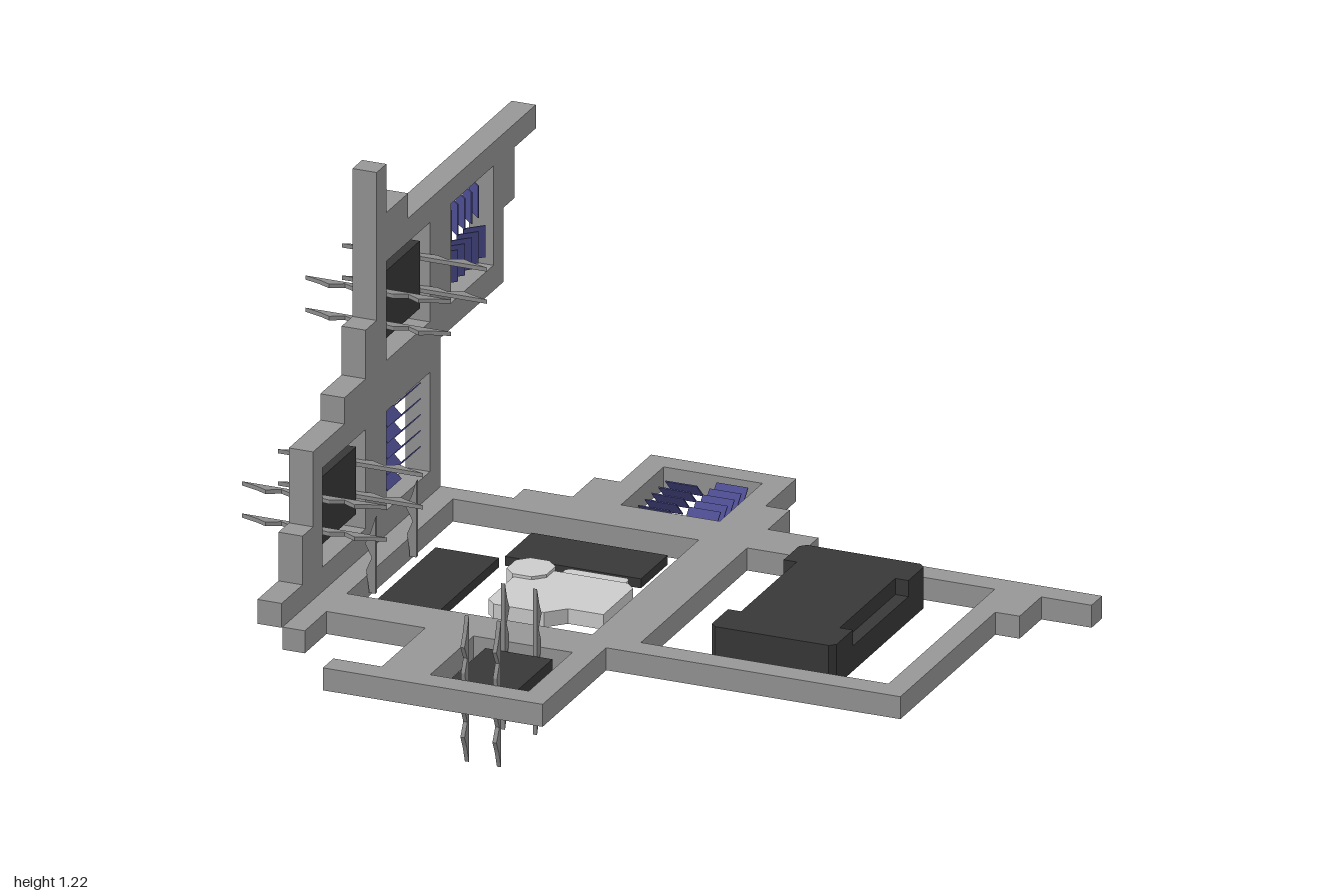
import * as THREE from 'three';

const mat = (color) => new THREE.MeshStandardMaterial({ color, flatShading: true });
const frameMat = mat(0x969696), darkMat = mat(0x383838), blueMat = mat(0x4c4c90);
const legMat = mat(0x8c8c8c), paleMat = mat(0xcccccc);
const V = (x, y, z) => new THREE.Vector3(x, y, z);

function mesh(name, geometry, material, x = 0, y = 0, z = 0) {
  const m = new THREE.Mesh(geometry, material);
  m.name = name;
  m.position.set(x, y, z);
  return m;
}
const box = (name, m, x0, x1, y0, y1, z0, z1) =>
  mesh(name, new THREE.BoxGeometry(x1 - x0, y1 - y0, z1 - z0), m, (x0 + x1) / 2, (y0 + y1) / 2, (z0 + z1) / 2);

// Outline with rectangular holes [u0, u1, v0, v1], extruded
function panel(points, depth, holes = []) {
  const toV2 = (p) => new THREE.Vector2(p[0], p[1]);
  const shape = new THREE.Shape(points.map(toV2));
  for (const [a, b, c, d] of holes) {
    shape.holes.push(new THREE.Path([[a, c], [a, d], [b, d], [b, c]].map(toV2)));
  }
  return new THREE.ExtrudeGeometry(shape, { depth, bevelEnabled: false });
}
// Flat slab: outline in x and z, between heights y0 and y1
const slab = (points, y0, y1, holes) => panel(points, y1 - y0, holes).rotateX(Math.PI / 2).translate(0, y1, 0);

// Rectangle with cut corners
function chamfered(x0, x1, z0, z1, c) {
  return [[x0 + c, z0], [x1 - c, z0], [x1, z0 + c], [x1, z1 - c], [x1 - c, z1], [x0 + c, z1], [x0, z1 - c], [x0, z0 + c]];
}

// Wavy upright leg, bulging toward local +z; upper half only when half is true
function leg(half) {
  const up = [[0.018, 0], [0.025, 0.05], [0.01, 0.085], [0.028, 0.12], [0.014, 0.15], [0, 0.195]];
  const down = half ? [[0, -0.01], [0.018, -0.01]] : up.slice(1).reverse().map(([o, t]) => [o, -t]);
  return panel([...down, ...up], 0.011).translate(0, 0, -0.0055).rotateY(-Math.PI / 2);
}

// Dark plate with two legs on each of two sides
function legPlate(name) {
  const g = new THREE.Group();
  g.name = name;
  g.add(mesh('plate', new THREE.BoxGeometry(0.18, 0.03, 0.222), darkMat));
  for (const side of [1, -1]) for (const x of [-0.043, 0.043]) {
    const l = mesh('leg', leg(false), legMat, x, 0, side * 0.112);
    if (side < 0) l.rotation.y = Math.PI;
    g.add(l);
  }
  return g;
}

// Two rows of slats tilted opposite ways
function louvre(name) {
  const g = new THREE.Group();
  g.name = name;
  for (const side of [-1, 1]) for (let i = -2; i <= 2; i++) {
    const s = mesh('slat', new THREE.BoxGeometry(0.085, 0.003, 0.058), blueMat, side * 0.06, 0, i * 0.0425);
    s.rotation.x = side * Math.PI / 4;
    g.add(s);
  }
  return g;
}

// Stand a flat part in the wall: its top faces +x, its x axis follows the given axis
function inWall(part, xAxis, y, z) {
  const yAxis = V(1, 0, 0);
  part.quaternion.setFromRotationMatrix(new THREE.Matrix4().makeBasis(xAxis, yAxis, xAxis.clone().cross(yAxis)));
  part.position.set(-0.807, y, z);
  return part;
}

export function createModel() {
  const model = new THREE.Group();
  model.name = 'model';

  // Floor frame
  const floor = [[-0.38, -0.69], [0.01, -0.69], [0.01, -0.5], [0.075, -0.5], [0.075, -0.365], [0.21, -0.365],
    [0.21, -0.3], [1, -0.3], [1, -0.235], [0.865, -0.235], [0.865, -0.1], [0.8, -0.1], [0.8, 0.49], [0.01, 0.49],
    [0.01, 0.885], [-0.58, 0.885], [-0.58, 0.82], [-0.45, 0.82], [-0.45, 0.55], [-0.715, 0.55], [-0.715, 0.685],
    [-0.775, 0.685], [-0.775, -0.3], [-0.58, -0.3], [-0.58, -0.365], [-0.45, -0.365], [-0.45, -0.5], [-0.38, -0.5]];
  model.add(mesh('floorFrame', slab(floor, 0.165, 0.225, [
    [-0.715, -0.055, -0.235, 0.425], [0.075, 0.74, -0.235, 0.425],
    [-0.32, -0.055, -0.63, -0.365], [-0.32, -0.055, 0.55, 0.82]]), frameMat));

  // Wall frame, outline in z and y
  const wall = [[0.69, 0.225], [0.69, 0.29], [0.56, 0.29], [0.56, 0.42], [0.495, 0.42], [0.495, 0.62], [0.3, 0.62],
    [0.3, 0.69], [0.168, 0.69], [0.168, 0.82], [0.1, 0.82], [0.1, 1.215], [0.04, 1.215], [0.04, 1.085],
    [-0.095, 1.085], [-0.095, 1.018], [-0.888, 1.018], [-0.888, 0.955], [-0.755, 0.955], [-0.755, 0.82],
    [-0.688, 0.82], [-0.688, 0.622], [-0.295, 0.622], [-0.295, 0.225]];
  model.add(mesh('wallFrame', panel(wall, 0.065, [
    [0.168, 0.435, 0.29, 0.555], [-0.23, 0.04, 0.29, 0.555],
    [-0.23, 0.04, 0.69, 0.955], [-0.625, -0.36, 0.69, 0.955]])
    .rotateY(-Math.PI / 2).translate(-0.775, 0, 0), frameMat));

  // Plates with legs
  const floorPlate = legPlate('floorLegPlate');
  floorPlate.position.set(-0.187, 0.195, 0.688);
  model.add(floorPlate,
    inWall(legPlate('lowerWallLegPlate'), V(0, 1, 0), 0.424, 0.3),
    inWall(legPlate('upperWallLegPlate'), V(0, 1, 0), 0.822, -0.096));

  // Louvres
  const floorLouvre = louvre('floorLouvre');
  floorLouvre.position.set(-0.187, 0.195, -0.505);
  model.add(floorLouvre,
    inWall(louvre('lowerWallLouvre'), V(0, 0, -1), 0.432, -0.097),
    inWall(louvre('upperWallLouvre'), V(0, 1, 0), 0.822, -0.495));

  // Large block: chamfered base under a top notched at both sides
  model.add(mesh('blockBase', slab(chamfered(0.24, 0.575, -0.19, 0.38, 0.015), 0.17, 0.237), darkMat));
  const top = [[0.255, -0.19], [0.56, -0.19], [0.575, -0.175], [0.575, -0.08], [0.54, -0.08], [0.54, 0.265],
    [0.575, 0.265], [0.575, 0.365], [0.56, 0.38], [0.255, 0.38], [0.24, 0.365], [0.24, 0.265], [0.275, 0.265],
    [0.275, -0.08], [0.24, -0.08], [0.24, -0.175]];
  model.add(mesh('blockTop', slab(top, 0.237, 0.28), darkMat));

  // Flat dark plates in the main opening
  model.add(box('sidePlate', darkMat, -0.66, -0.49, 0.17, 0.195, 0, 0.36));
  model.add(box('rearPlate', darkMat, -0.48, -0.115, 0.17, 0.195, -0.18, -0.015));

  // Pale stepped body with its two small attachments
  model.add(mesh('paleBody', slab([[-0.375, 0.055], [-0.12, 0.055], [-0.095, 0.08], [-0.095, 0.265], [-0.19, 0.265],
    [-0.235, 0.31], [-0.37, 0.31], [-0.395, 0.285], [-0.395, 0.08]], 0.17, 0.21), paleMat));
  model.add(mesh('paleKnob', slab(chamfered(-0.425, -0.318, 0.018, 0.13, 0.028), 0.175, 0.218), paleMat));
  model.add(mesh('paleTab', slab(chamfered(-0.305, -0.135, 0.005, 0.06, 0.01), 0.175, 0.2), paleMat));

  // Two upright half legs beside the wall
  for (const z of [0.04, 0.294]) {
    const l = mesh('uprightLeg', leg(true), legMat, -0.692, 0.19, z);
    l.rotation.y = -Math.PI / 2;
    model.add(l);
  }
  return model;
}
